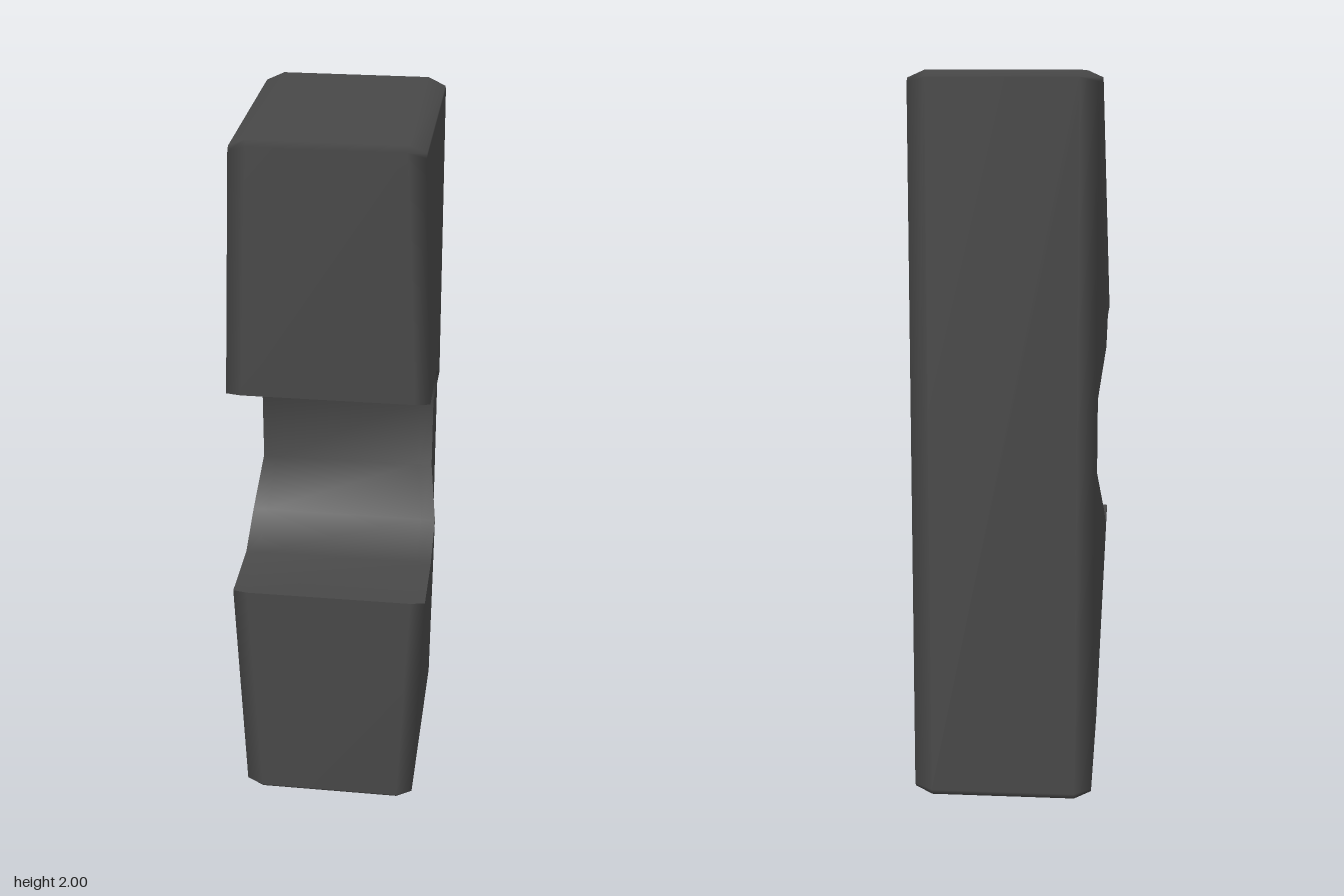
import * as THREE from 'three';

// Upper half of the C profile, from the back top round to the middle of the notch:
// rim z, rim y, rim half-width, side z, side y, side half-width
const HALF = [
  [-0.32, 1.982, 0.20, -0.305, 1.97, 0.248],
  [-0.307, 2.0, 0.20, -0.298, 1.98, 0.247],
  [0.305, 2.0, 0.20, 0.30, 1.98, 0.245],
  [0.318, 1.985, 0.20, 0.31, 1.97, 0.245],
  [0.318, 1.308, 0.23, 0.31, 1.308, 0.27],
  [0.10, 1.308, 0.23, 0.10, 1.308, 0.27],
  [-0.035, 1.24, 0.23, -0.035, 1.24, 0.27],
  [-0.122, 1.105, 0.21, -0.122, 1.105, 0.25],
];
const LOWER = HALF.map(([z, y, w, sz, sy, sw]) => [z, 2 - y, w, sz, 2 - sy, sw]).reverse();
const PROFILE = [...HALF, ...LOWER];
const N = PROFILE.length;

function makeGeometry(index) {
  // Four loops across the width: left side, left rim, right rim, right side
  const positions = [];
  for (const [isSide, sign] of [[true, 1], [false, 1], [false, -1], [true, -1]]) {
    for (const [z, y, w, sz, sy, sw] of PROFILE) {
      if (isSide) positions.push(sign * sw, sy, sz);
      else positions.push(sign * w, y, z);
    }
  }
  const geometry = new THREE.BufferGeometry();
  geometry.setAttribute('position', new THREE.Float32BufferAttribute(positions, 3));
  geometry.setIndex(index);
  geometry.computeVertexNormals();
  return geometry;
}

export function createModel() {
  const group = new THREE.Group();
  const charcoal = new THREE.MeshStandardMaterial({ color: 0x484848 });
  charcoal.name = 'charcoal';
  const shell = [], notch = [];

  // Bands joining the loops; the notch is kept apart so its front edges stay crisp
  for (let i = 0; i < N; i++) {
    const j = (i + 1) % N;
    const target = i >= 4 && i < 11 ? notch : shell;
    for (let s = 0; s < 3; s++) {
      const a = s * N, b = a + N;
      target.push(a + i, b + i, b + j, a + i, b + j, a + j);
    }
  }

  // Side faces, fanned from the two back corners
  const tris = [[0, 7, 8], [0, 8, N - 1]];
  for (let i = 1; i < 7; i++) {
    tris.push([0, i, i + 1], [N - 1, i + 7, i + 8]);
  }
  for (const [a, b, c] of tris) {
    shell.push(a, b, c, 3 * N + a, 3 * N + c, 3 * N + b);
  }

  for (const [name, index] of [['gripBody', shell], ['roundedNotch', notch]]) {
    const mesh = new THREE.Mesh(makeGeometry(index), charcoal);
    mesh.name = name;
    group.add(mesh);
  }
  return group;
}
